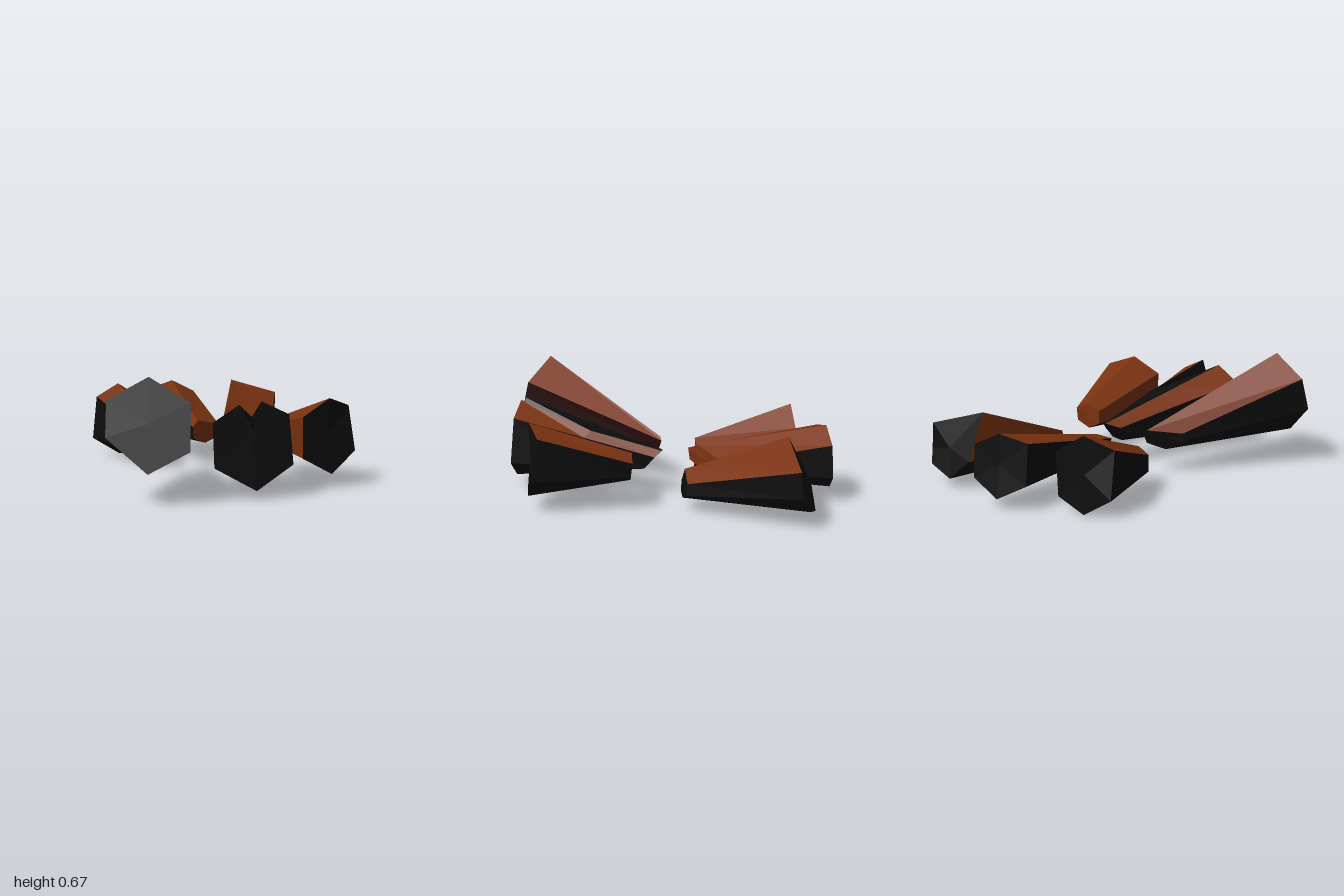
import * as THREE from 'three';

const material = (name, color) => {
  const m = new THREE.MeshStandardMaterial({ color });
  m.name = name;
  return m;
};

export function createModel() {
  const group = new THREE.Group();
  group.name = 'campfireLogs';
  const materials = [
    material('brownWood', 0x7a3211),
    material('charredBlack', 0x0d0d0d),
    material('scorchedMaroon', 0x260c0d),
  ];
  const code = { w: 0, k: 1, m: 2 };

  // Loft a log through rings ordered front to back, each clockwise seen from the front.
  // sides holds one colour letter per lengthwise face, caps one per end (front, back).
  function addLog(name, sides, caps, ...rings) {
    const pos = [];
    const geometry = new THREE.BufferGeometry();
    const face = (letter, ...points) => {
      geometry.addGroup(pos.length / 3, points.length, code[letter]);
      points.forEach((p) => pos.push(...p));
    };
    const n = sides.length;
    for (let r = 0; r < rings.length - 1; r++) {
      const f = rings[r], b = rings[r + 1];
      for (let i = 0; i < n; i++) {
        const j = (i + 1) % n;
        face(sides[i], f[i], f[j], b[j], f[i], b[j], b[i]);
      }
    }
    [rings[0], rings[rings.length - 1]].forEach((ring, end) => {
      const c = [0, 1, 2].map((k) => ring.reduce((s, p) => s + p[k], 0) / n);
      for (let i = 0; i < n; i++) {
        const p = ring[i], q = ring[(i + 1) % n];
        if (end === 0) face(caps[0], c, q, p);
        else face(caps[1], c, p, q);
      }
    });
    geometry.setAttribute('position', new THREE.Float32BufferAttribute(pos, 3));
    geometry.computeVertexNormals();
    const mesh = new THREE.Mesh(geometry, materials);
    mesh.name = name;
    group.add(mesh);
  }

  // Front logs: wide charred end first
  addLog('frontRightLog', 'wwmkkk', 'kk',
    [[-0.71, 0.55, 0.82], [-0.49, 0.67, 0.85], [-0.285, 0.54, 0.94],
      [-0.30, 0.29, 1.0], [-0.52, 0.175, 0.97], [-0.725, 0.36, 0.87]],
    [[-0.30, 0.25, 0.22], [-0.15, 0.27, 0.07], [-0.13, 0.25, 0.06],
      [-0.14, 0.19, 0.08], [-0.22, 0.15, 0.16], [-0.31, 0.20, 0.23]]);

  // The middle front log is split by a groove that closes halfway along
  addLog('frontMiddleLog', 'wkkwkkkk', 'kk',
    [[-0.155, 0.42, 0.88], [-0.01, 0.51, 0.87], [0.08, 0.35, 0.89], [0.115, 0.525, 0.86],
      [0.27, 0.45, 0.86], [0.29, 0.18, 0.88], [0.08, 0.05, 0.91], [-0.15, 0.18, 0.90]],
    [[-0.04, 0.33, 0.48], [0.06, 0.39, 0.44], [0.18, 0.375, 0.42], [0.18, 0.375, 0.42],
      [0.22, 0.34, 0.45], [0.23, 0.17, 0.49], [0.10, 0.11, 0.46], [-0.04, 0.17, 0.50]],
    [[0.07, 0.24, 0.07], [0.13, 0.27, 0.0], [0.14, 0.268, 0.0], [0.145, 0.265, 0.0],
      [0.17, 0.23, 0.04], [0.17, 0.16, 0.10], [0.12, 0.14, 0.13], [0.06, 0.17, 0.12]]);

  addLog('frontLeftLog', 'wwkkkw', 'kw',
    [[0.385, 0.41, 0.73], [0.555, 0.505, 0.68], [0.695, 0.45, 0.59],
      [0.72, 0.20, 0.64], [0.57, 0.08, 0.69], [0.39, 0.18, 0.73]],
    [[0.33, 0.28, 0.14], [0.41, 0.32, 0.12], [0.49, 0.28, 0.10],
      [0.49, 0.20, 0.11], [0.41, 0.16, 0.13], [0.33, 0.20, 0.14]]);

  // Back logs: narrow inner end first
  addLog('backRightLog', 'wwwkkk', 'wk',
    [[-0.34, 0.20, -0.11], [-0.27, 0.24, -0.12], [-0.19, 0.20, -0.15],
      [-0.18, 0.10, -0.14], [-0.25, 0.065, -0.12], [-0.34, 0.10, -0.11]],
    [[-0.56, 0.38, -0.60], [-0.41, 0.45, -0.69], [-0.245, 0.34, -0.74],
      [-0.25, 0.08, -0.73], [-0.41, 0.0, -0.69], [-0.58, 0.11, -0.65]]);

  addLog('backMiddleLog', 'wwkkkk', 'wk',
    [[-0.045, 0.24, -0.12], [0.0, 0.27, -0.19], [0.17, 0.22, -0.37],
      [0.17, 0.14, -0.37], [0.06, 0.12, -0.25], [-0.04, 0.17, -0.13]],
    [[-0.165, 0.39, -0.87], [-0.01, 0.43, -0.94], [0.145, 0.35, -0.99],
      [0.145, 0.16, -1.0], [-0.01, 0.06, -0.97], [-0.165, 0.15, -0.89]]);

  addLog('backLeftLog', 'wkkkkw', 'kk',
    [[0.33, 0.22, -0.17], [0.46, 0.17, -0.21], [0.46, 0.10, -0.20],
      [0.40, 0.07, -0.17], [0.34, 0.09, -0.15], [0.33, 0.15, -0.15]],
    [[0.35, 0.445, -0.76], [0.68, 0.34, -0.87], [0.68, 0.19, -0.88],
      [0.64, 0.11, -0.92], [0.46, 0.06, -0.93], [0.33, 0.18, -0.89]]);

  return group;
}
